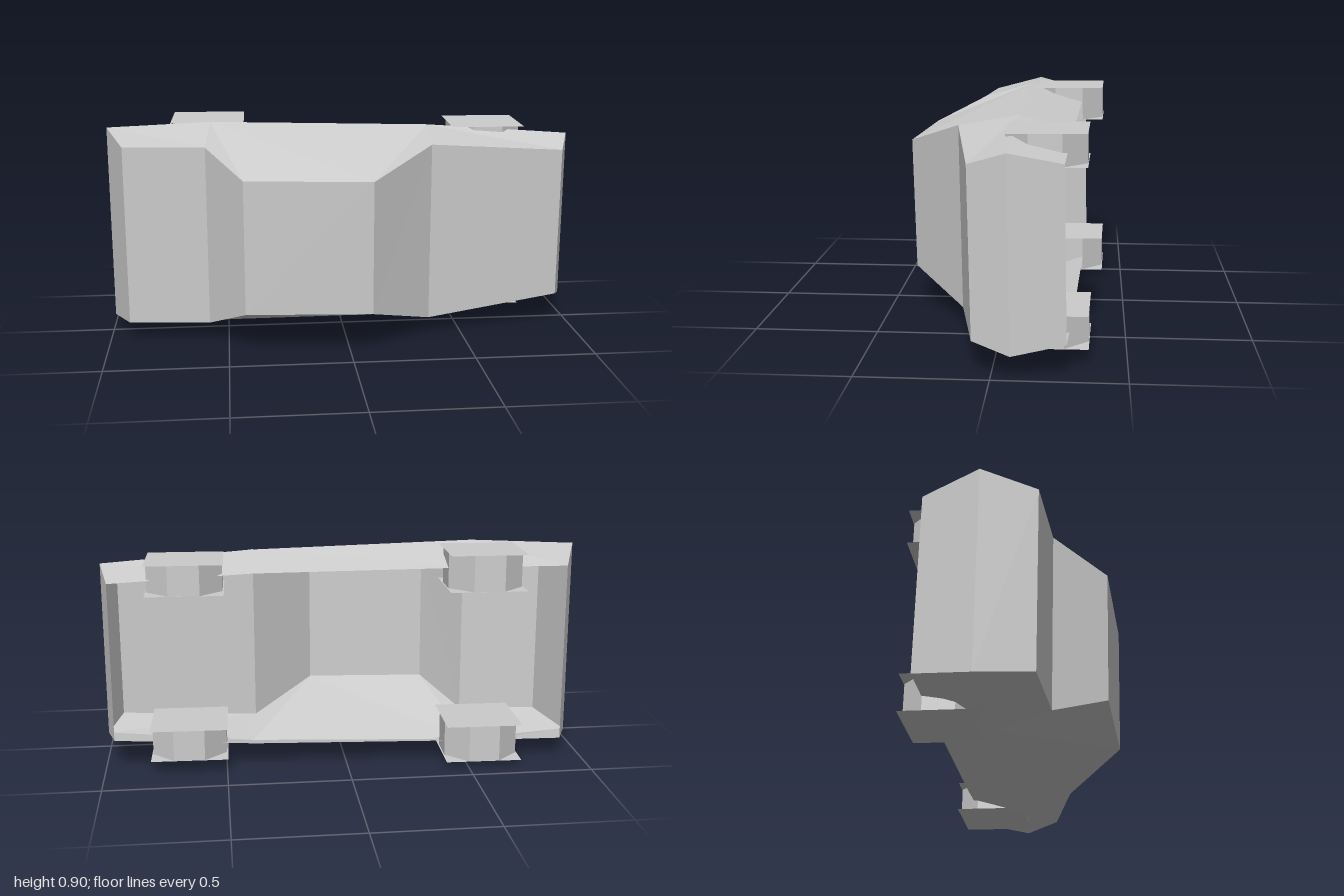
import * as THREE from 'three';

// Shell corners: [x, z, y on the upper side, y on the lower side]
const P = {
  sillA: [-0.91, -0.32, 0.83, 0.085], sillB: [-0.57, -0.31, 0.83, 0.085],
  sillC: [0.38, -0.282, 0.82, 0.1], sillD: [0.96, -0.262, 0.787, 0.128],
  beltA: [-1, -0.09, 0.88, 0.04], beltB: [-0.56, -0.075, 0.9, 0.003],
  beltC: [0.38, -0.067, 0.876, 0.035], beltD: [1, -0.06, 0.83, 0.093],
  deckA: [-0.92, 0.125, 0.83, 0.07], deckB: [-0.58, 0.158, 0.83, 0.07],
  roofA: [-0.43, 0.37, 0.73, 0.17], roofB: [0.09, 0.41, 0.725, 0.17],
  hoodA: [0.36, 0.18, 0.83, 0.07], hoodB: [0.945, 0.085, 0.78, 0.13],
};
const upper = (n) => [P[n][0], P[n][2], P[n][1]];
const lower = (n) => [P[n][0], P[n][3], P[n][1] - 0.013];

function facesGeometry(faces) {
  const pos = [];
  for (const f of faces)
    for (let i = 1; i < f.length - 1; i++) pos.push(...f[0], ...f[i], ...f[i + 1]);
  const g = new THREE.BufferGeometry();
  g.setAttribute('position', new THREE.Float32BufferAttribute(pos, 3));
  g.computeVertexNormals();
  return g;
}

export function createModel() {
  const model = new THREE.Group();
  model.name = 'lowPolyCar';
  const grey = new THREE.MeshStandardMaterial({ color: 0xcccccc, flatShading: true, side: THREE.DoubleSide });
  grey.name = 'plain grey';

  const add = (parent, geometry, name) => {
    const m = new THREE.Mesh(geometry, grey);
    m.name = name;
    parent.add(m);
    return m;
  };

  // Panels running across the car, from end to end over the roof
  const chain = ['sillA', 'beltA', 'deckA', 'deckB', 'roofA', 'roofB', 'hoodA', 'hoodB', 'beltD', 'sillD'];
  const across = chain.slice(1).map((b, i) => [lower(chain[i]), lower(b), upper(b), upper(chain[i])]);
  add(model, facesGeometry(across), 'bodyPanels');

  // Both side walls; the underside stays open
  const side = [
    ['beltA', 'deckA', 'deckB', 'beltB'], ['beltB', 'deckB', 'roofA'],
    ['beltB', 'roofA', 'roofB'], ['beltB', 'roofB', 'beltC'],
    ['beltC', 'roofB', 'hoodA'], ['beltC', 'hoodA', 'hoodB', 'beltD'],
    ['sillA', 'beltA', 'beltB', 'sillB'], ['sillB', 'beltB', 'beltC', 'sillC'],
    ['sillC', 'beltC', 'beltD', 'sillD'],
  ];
  add(model, facesGeometry(side.map((f) => f.map(upper))), 'upperSideWall');
  add(model, facesGeometry(side.map((f) => f.map(lower).reverse())), 'lowerSideWall');

  // Wheels: eight-sided open tread between two square plates
  const wheels = [
    [-0.57, -0.25, 0.745, 0.893], [0.65, -0.19, 0.745, 0.868],
    [-0.57, -0.258, 0.023, 0.175], [0.65, -0.202, 0.057, 0.185],
  ];
  for (const [x, z, y0, y1] of wheels) {
    const wheel = new THREE.Group();
    wheel.name = 'wheel';
    wheel.position.set(x, (y0 + y1) / 2, z);
    wheel.rotation.set(0.015, -0.025, 0);
    const h = y1 - y0;
    add(wheel, new THREE.CylinderGeometry(0.165, 0.165, h, 8, 1, true).rotateY(Math.PI / 8), 'tread');
    for (const s of [1, -1]) {
      const plate = add(wheel, new THREE.PlaneGeometry(0.315, 0.31).rotateX(-s * Math.PI / 2), 'wheelPlate');
      plate.position.y = s * h / 2;
    }
    model.add(wheel);
  }
  return model;
}
